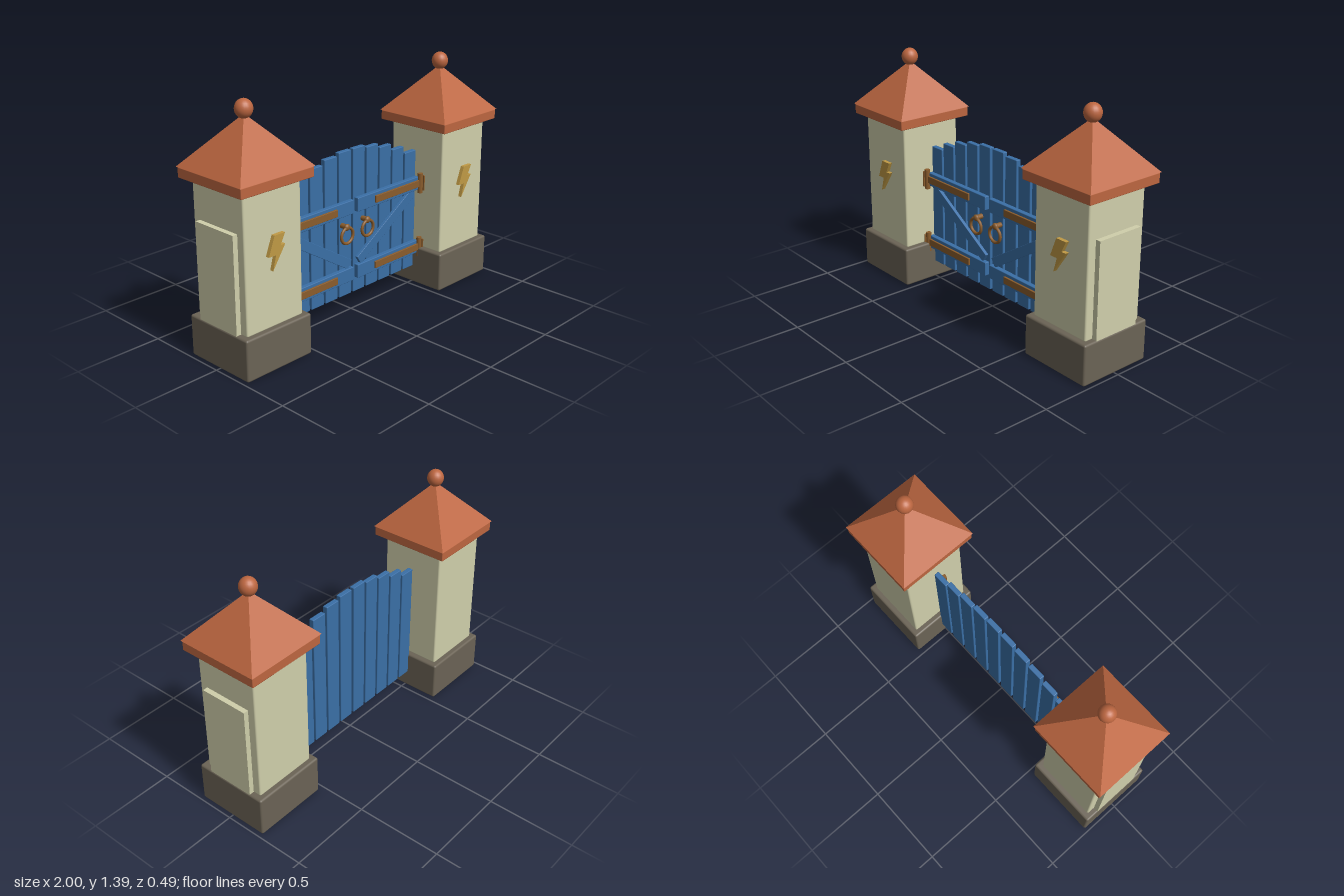
import * as THREE from 'three';
import { RoundedBoxGeometry } from 'three/addons/geometries/RoundedBoxGeometry.js';

const material = (name, color) => {
  const m = new THREE.MeshStandardMaterial({ color });
  m.name = name;
  return m;
};

export function createModel() {
  const cream = material('cream plaster', 0xd0cfab);
  const stone = material('brown stone', 0x6b6355);
  const tile = material('terracotta', 0xbc6640);
  const blue = material('blue wood', 0x3a6fa6);
  const bronze = material('bronze', 0x8a5c2c);
  const gold = material('gold', 0xc09a45);

  const model = new THREE.Group();
  model.name = 'gate';

  const add = (parent, name, geometry, mat, x, y, z) => {
    const mesh = new THREE.Mesh(geometry, mat);
    mesh.name = name;
    mesh.position.set(x, y, z);
    parent.add(mesh);
    return mesh;
  };
  // Softened box given by its size and centre
  const block = (parent, name, mat, w, h, d, x, y, z, r = 0.004) =>
    add(parent, name, new RoundedBoxGeometry(w, h, d, 2, r), mat, x, y, z);

  // Lightning bolt emblem, the same way round on both pillars
  const boltShape = new THREE.Shape([
    [-0.012, 0.093], [0.058, 0.093], [0.027, 0.032], [0.058, 0.032],
    [-0.027, -0.094], [-0.005, -0.013], [-0.053, -0.013],
  ].map(([x, y]) => new THREE.Vector2(x, y)));
  const boltGeometry = new THREE.ExtrudeGeometry(boltShape, { depth: 0.026, bevelEnabled: false });

  // Four-sided roof with flat faces
  const roofGeometry = new THREE.ConeGeometry(0.245 * Math.SQRT2, 0.27, 4, 1).rotateY(Math.PI / 4).toNonIndexed();
  roofGeometry.computeVertexNormals();

  for (const s of [1, -1]) {
    const pillar = new THREE.Group();
    pillar.name = s > 0 ? 'leftPillar' : 'rightPillar';
    pillar.position.x = s * 0.755;
    model.add(pillar);
    block(pillar, 'base', stone, 0.445, 0.235, 0.448, 0, 0.1225, 0, 0.012);
    block(pillar, 'shaft', cream, 0.38, 0.76, 0.384, 0, 0.615, 0, 0.01);
    add(pillar, 'sidePanel', new THREE.BoxGeometry(0.05, 0.58, 0.286), cream, s * 0.194, 0.49, 0);
    block(pillar, 'roofSlab', tile, 0.478, 0.056, 0.482, 0, 1.02, 0);
    add(pillar, 'roof', roofGeometry, tile, 0, 1.185, 0);
    add(pillar, 'finial', new THREE.SphereGeometry(0.048, 20, 14), tile, 0, 1.346, 0).scale.y = 1.06;
    add(pillar, 'bolt', boltGeometry, gold, 0, 0.648, 0.188);

    const door = new THREE.Group();
    door.name = s > 0 ? 'leftDoor' : 'rightDoor';
    model.add(door);

    // Planks stepping down from the middle
    [0.972, 0.957, 0.931, 0.892, 0.847].forEach((top, i) => {
      block(door, 'plank', blue, 0.095, top - 0.11, 0.03, s * (0.056 + i * 0.1095), (top + 0.11) / 2, -0.005);
    });

    // Rails with their straps and hinges
    for (const y of [0.648, 0.244]) {
      block(door, 'rail', blue, 0.525, 0.082, 0.03, s * 0.279, y, 0.025);
      block(door, 'strap', bronze, 0.39, 0.042, 0.014, s * 0.35, y, 0.044, 0.002);
      add(door, 'hingePin', new THREE.CylinderGeometry(0.016, 0.016, 0.12, 12), bronze, s * 0.547, y, 0.045);
      block(door, 'hingePlate', bronze, 0.012, 0.095, 0.05, s * 0.564, y, 0.04, 0.002);
    }

    // Diagonal brace from the upper hinge to the lower middle
    const brace = block(door, 'brace', blue, 0.54, 0.058, 0.02, s * 0.268, 0.446, 0.019, 0.002);
    brace.rotation.z = s * Math.atan2(0.27, 0.43);

    // Ring handle hanging from a knob
    const ringX = s * 0.083;
    add(door, 'ring', new THREE.TorusGeometry(0.046, 0.009, 10, 28), bronze, ringX, 0.497, 0.052);
    add(door, 'knobStem', new THREE.CylinderGeometry(0.015, 0.015, 0.05, 12).rotateX(Math.PI / 2),
      bronze, ringX, 0.546, 0.032);
    add(door, 'knob', new THREE.SphereGeometry(0.02, 14, 10), bronze, ringX, 0.546, 0.05).scale.z = 0.7;
  }
  return model;
}
